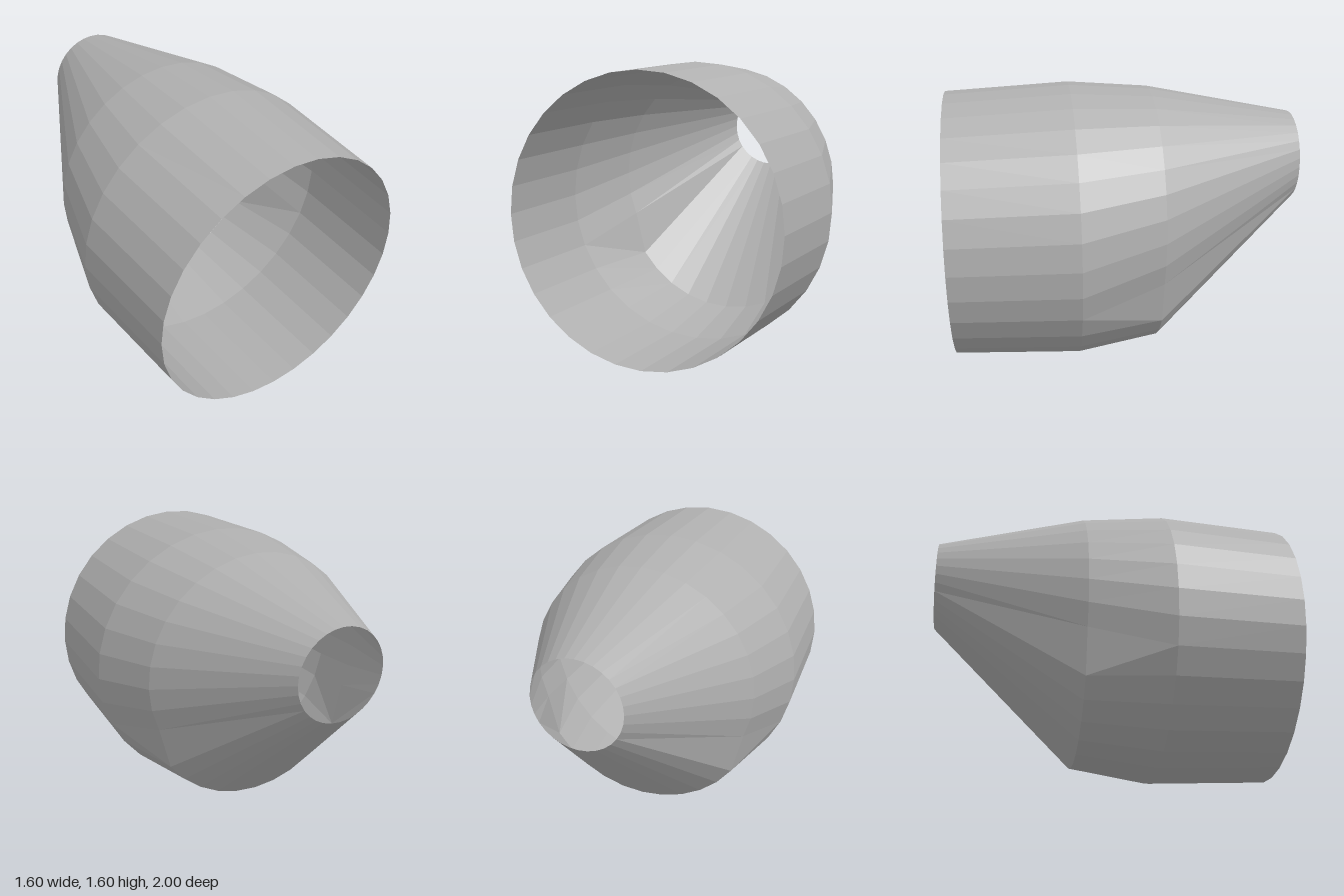
import * as THREE from 'three';

const SIDES = 32;

// Rings from the open front to the narrow rear; drop lowers the bottom arc
const RINGS = [
  { z: 1, r: 0.765, cy: 0.8, drop: 0 },
  { z: 0.3, r: 0.8, cy: 0.8, drop: 0 },
  { z: -0.16, r: 0.68, cy: 0.885, drop: 0.137 },
  { z: -1, r: 0.258, cy: 1.142, drop: 0 },
];

// Point k of a ring, counted from the bottom towards +x
function ringPoint({ z, r, cy, drop }, k) {
  const a = (k / SIDES) * Math.PI * 2;
  const fromBottom = Math.min(k, SIDES - k);
  const y = cy - r * Math.cos(a) - (fromBottom <= 5 ? drop : 0);
  return [r * Math.sin(a), y, z];
}

// Open faceted skin joining the rings
function shellGeometry() {
  const positions = [];
  const indices = [];
  for (const ring of RINGS) {
    for (let k = 0; k < SIDES; k++) positions.push(...ringPoint(ring, k));
  }
  for (let i = 0; i < RINGS.length - 1; i++) {
    for (let k = 0; k < SIDES; k++) {
      const next = (k + 1) % SIDES;
      const a = i * SIDES + k, b = i * SIDES + next;
      const c = a + SIDES, d = b + SIDES;
      // Diagonals mirror left to right
      if (k < SIDES / 2) indices.push(a, c, b, b, c, d);
      else indices.push(a, d, b, a, c, d);
    }
  }
  const indexed = new THREE.BufferGeometry();
  indexed.setAttribute('position', new THREE.Float32BufferAttribute(positions, 3));
  indexed.setIndex(indices);
  const geometry = indexed.toNonIndexed();
  geometry.computeVertexNormals();
  return geometry;
}

export function createModel() {
  const model = new THREE.Group();
  model.name = 'taperedNozzle';

  const grey = new THREE.MeshStandardMaterial({
    color: 0xb0b0b0, flatShading: true, side: THREE.DoubleSide,
  });
  grey.name = 'grey';

  const shell = new THREE.Mesh(shellGeometry(), grey);
  shell.name = 'nozzleShell';
  model.add(shell);
  return model;
}
